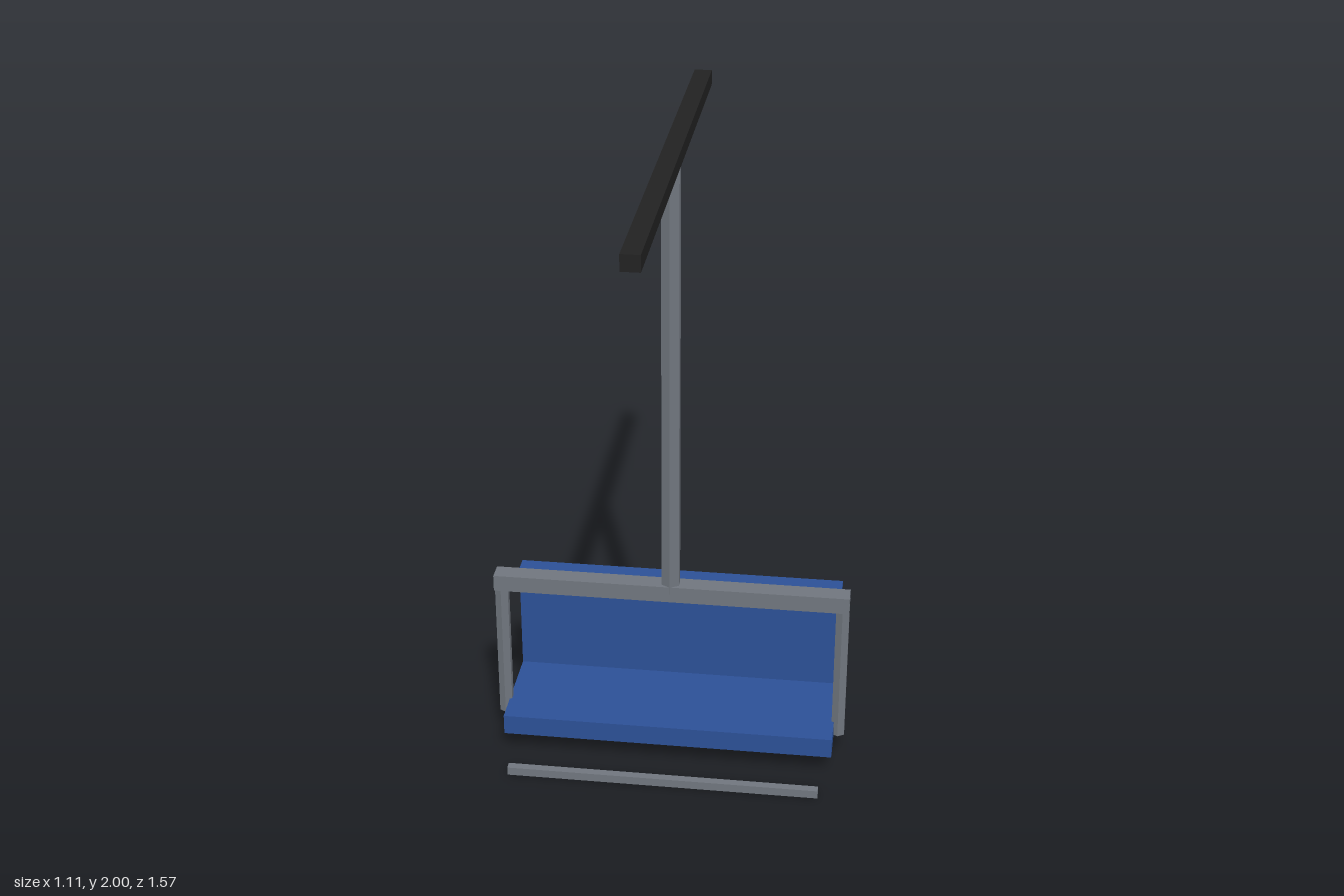
import * as THREE from 'three';

export function createModel() {
  const model = new THREE.Group();
  model.name = 'chairlift';

  const material = (name, color) => {
    const m = new THREE.MeshStandardMaterial({ color });
    m.name = name;
    return m;
  };
  const blue = material('blue seat', 0x2c5096);
  const steel = material('grey steel', 0x70767e);
  const black = material('black cable', 0x222222);
  steel.flatShading = true;

  const add = (name, geometry, mat, x, y, z) => {
    const mesh = new THREE.Mesh(geometry, mat);
    mesh.name = name;
    mesh.position.set(x, y, z);
    model.add(mesh);
  };
  // Box given by its width and its y and z ranges, centred on x
  const bar = (name, mat, w, y0, y1, z0, z1) =>
    add(name, new THREE.BoxGeometry(w, y1 - y0, z1 - z0), mat, 0, (y0 + y1) / 2, (z0 + z1) / 2);
  // Upright six-sided tube
  const post = (name, r, x, y0, y1) =>
    add(name, new THREE.CylinderGeometry(r, r, y1 - y0, 6), steel, x, (y0 + y1) / 2, 0);

  // Overhead cable and hanger
  bar('cable', black, 0.054, 1.953, 2, -0.785, 0.785);
  post('hangerPole', 0.031, 0, 0.575, 1.98);
  bar('crossBeam', steel, 1.112, 0.547, 0.6, -0.03, 0.03);
  for (const side of [-1, 1]) {
    post(side > 0 ? 'leftPost' : 'rightPost', 0.0235, side * 0.536, 0.088, 0.58);
  }

  // Bench
  bar('seat', blue, 1.046, 0.069, 0.135, -0.245, 0.115);
  bar('backrest', blue, 1.046, 0.135, 0.493, -0.261, -0.208);

  // Footrest
  bar('footrest', steel, 0.98, 0, 0.027, 0.215, 0.241);

  return model;
}
